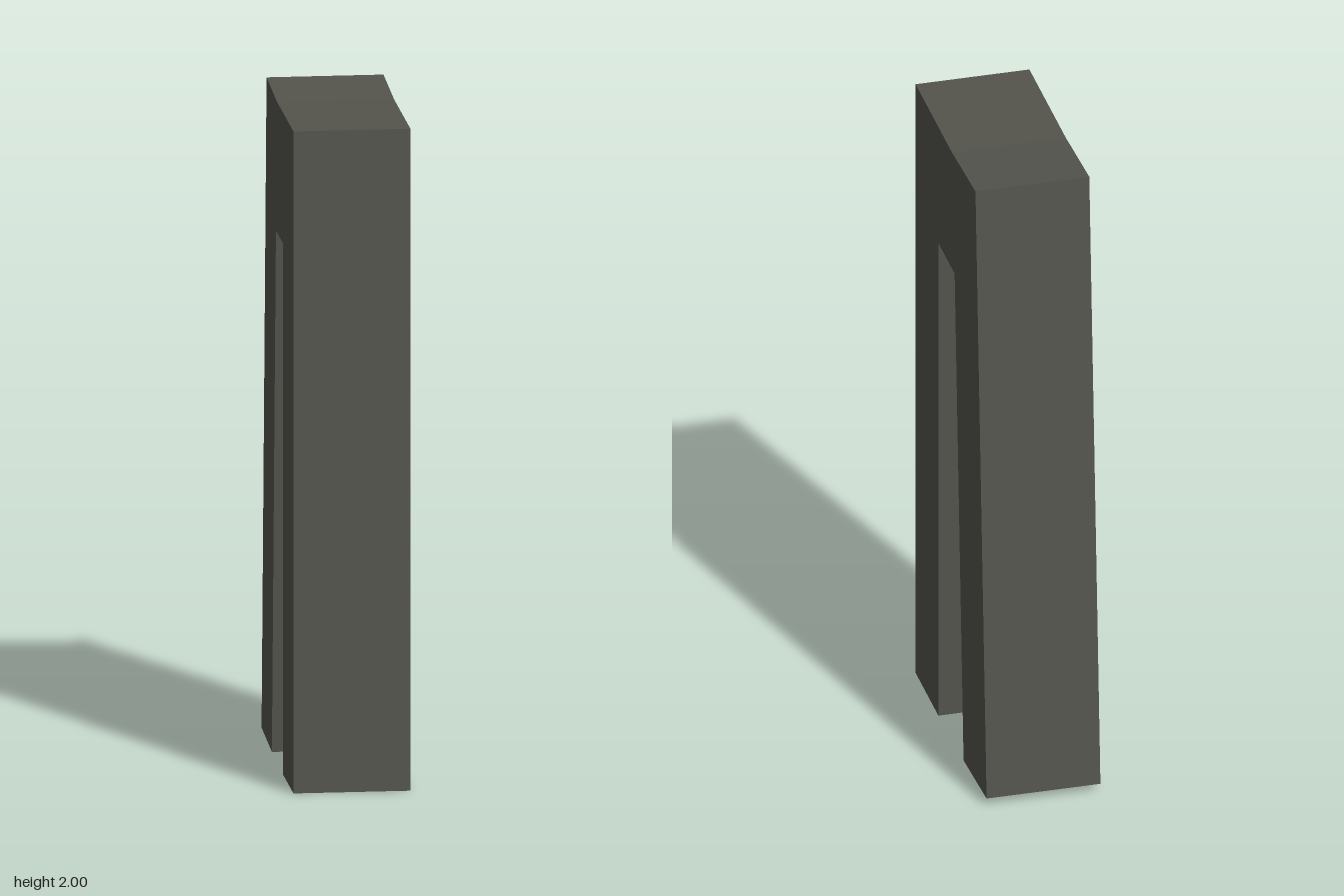
import * as THREE from 'three';

// Extrudes a side profile of [z, y] points along x, centred on x = 0
function profileMesh(name, points, width, material) {
  const shape = new THREE.Shape(points.map(([z, y]) => new THREE.Vector2(z, y)));
  const geometry = new THREE.ExtrudeGeometry(shape, { depth: width, bevelEnabled: false });
  geometry.translate(0, 0, -width / 2);
  geometry.rotateY(-Math.PI / 2);
  const mesh = new THREE.Mesh(geometry, material);
  mesh.name = name;
  return mesh;
}

export function createModel() {
  const model = new THREE.Group();
  model.name = 'archedTower';
  const stone = new THREE.MeshStandardMaterial({ color: 0x54544d });
  stone.name = 'dark grey';

  // Upright front leg, bridge and leaning back leg in one outline
  model.add(profileMesh('legsAndBridge', [
    [0.41, 0], [0.41, 1.983], [-0.01, 1.983], [-0.28, 2],
    [-0.408, 0.025], [-0.143, 0.008], [-0.04, 1.592], [0.147, 1.592], [0.147, 0],
  ], 0.345, stone));

  // Narrow rib on the inner face of the leaning leg
  model.add(profileMesh('innerRib', [
    [-0.018, 0.069], [0.066, 1.36], [-0.055, 1.368], [-0.139, 0.077],
  ], 0.14, stone));

  return model;
}
